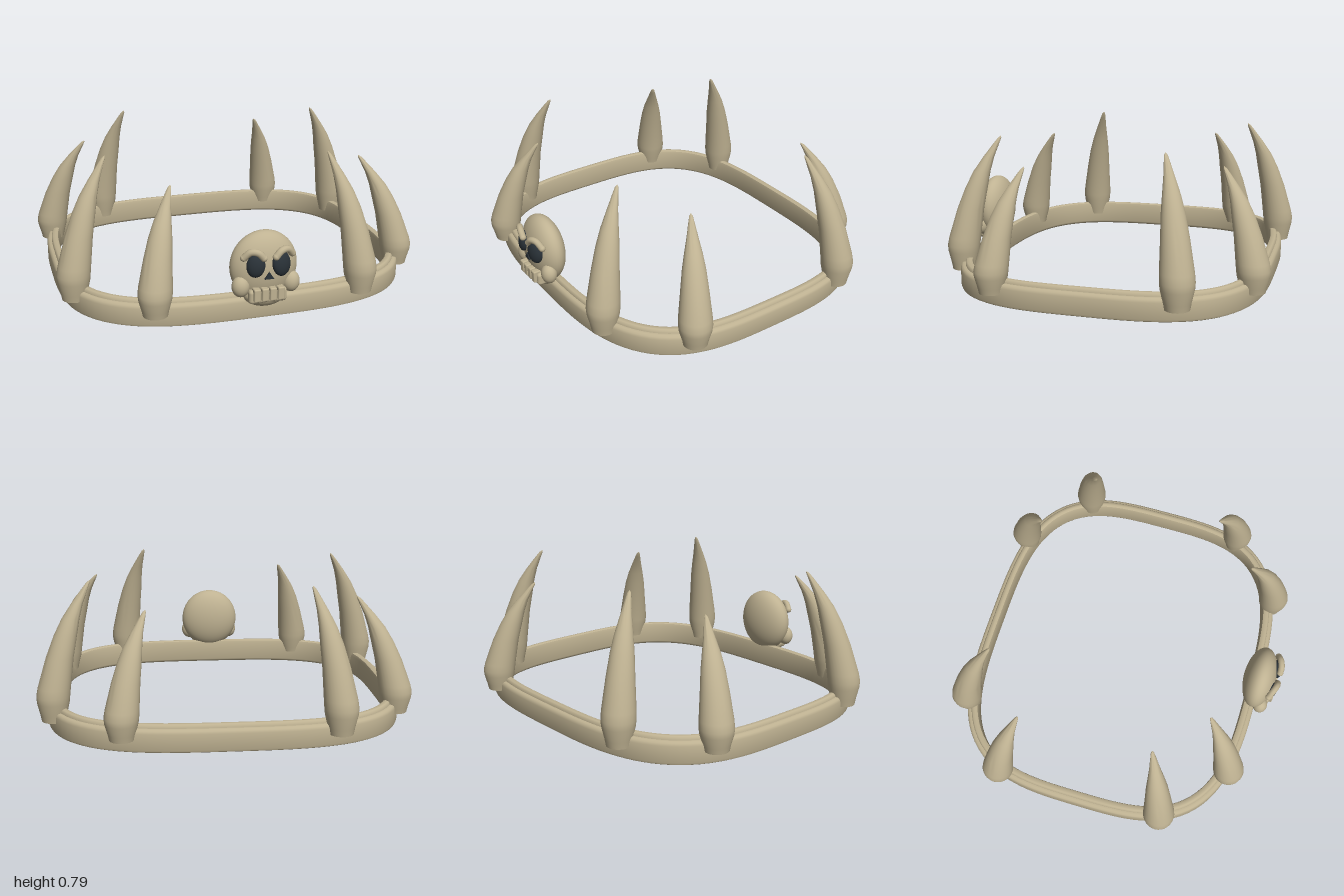
import * as THREE from 'three';
import { mergeVertices, toCreasedNormals } from 'three/addons/utils/BufferGeometryUtils.js';
import { RoundedBoxGeometry } from 'three/addons/geometries/RoundedBoxGeometry.js';

const bone = new THREE.MeshStandardMaterial({ color: 0xbfb292 });
const dark = new THREE.MeshStandardMaterial({ color: 0x2a3238 });
const CZ = -0.04; // centre of the ring in z

function add(parent, name, geometry, material, x = 0, y = 0, z = 0) {
  const mesh = new THREE.Mesh(geometry, material);
  mesh.name = name;
  mesh.position.set(x, y, z);
  parent.add(mesh);
  return mesh;
}

function ellipsoid(parent, name, material, [x, y, z], [rx, ry, rz]) {
  const mesh = add(parent, name, new THREE.SphereGeometry(1, 40, 28), material, x, y, z);
  mesh.scale.set(rx, ry, rz);
  return mesh;
}

// Rounded-square band: a lipped profile swept round a superellipse
function bandGeometry() {
  const profile = [[0.022, 0], [0.031, 0.005], [0.035, 0.016], [0.035, 0.1], [0.031, 0.114], [0.022, 0.121],
    [0.009, 0.122], [0.007, 0.134], [0, 0.141], [-0.015, 0.143], [-0.028, 0.137], [-0.032, 0.122],
    [-0.032, 0.016], [-0.028, 0.005], [-0.02, 0]];
  const a = 0.94, b = 0.815, n = 3.3, steps = 144, m = profile.length;
  const positions = [], index = [];
  for (let i = 0; i < steps; i++) {
    const t = (i / steps) * Math.PI * 2, c = Math.cos(t), s = Math.sin(t);
    const r = (Math.abs(c / a) ** n + Math.abs(s / b) ** n) ** (-1 / n);
    const x = r * c, z = r * s;
    const normal = new THREE.Vector2(
      Math.sign(x) * Math.abs(x / a) ** (n - 1) / a,
      Math.sign(z) * Math.abs(z / b) ** (n - 1) / b).normalize();
    profile.forEach(([o, y], j) => {
      positions.push(x + normal.x * o, y, z + normal.y * o + CZ);
      const j2 = (j + 1) % m, k = ((i + 1) % steps) * m;
      index.push(i * m + j, i * m + j2, k + j, i * m + j2, k + j2, k + j);
    });
  }
  const g = new THREE.BufferGeometry();
  g.setAttribute('position', new THREE.Float32BufferAttribute(positions, 3));
  g.setIndex(index);
  return toCreasedNormals(g, 0.7);
}

// Fang: a turned spike whose rings slide towards the tip; [height, radius, slide]
function fangGeometry(dx, dz, heightScale) {
  const rings = [[0, 0, 0], [0, 0.064, 0], [0.035, 0.07, 0], [0.1, 0.085, 0], [0.135, 0.088, 0.005],
    [0.18, 0.086, 0.04], [0.335, 0.072, 0.2], [0.45, 0.06, 0.36], [0.535, 0.046, 0.5],
    [0.61, 0.03, 0.67], [0.68, 0.016, 0.86], [0.712, 0.009, 0.95], [0.724, 0, 0.99]];
  const lathe = new THREE.LatheGeometry(rings.map(([h, r]) => new THREE.Vector2(r, h)), 28);
  const p = lathe.attributes.position;
  for (let i = 0; i < p.count; i++) {
    const slide = rings[i % rings.length][2];
    p.setXYZ(i, p.getX(i) + dx * slide, p.getY(i) * heightScale, p.getZ(i) + dz * slide);
  }
  lathe.deleteAttribute('uv');
  lathe.deleteAttribute('normal');
  return toCreasedNormals(mergeVertices(lathe, 1e-5), 0.8);
}

function buildFangs() {
  const fangs = new THREE.Group();
  fangs.name = 'fangs';
  for (const sx of [1, -1]) {
    for (const sz of [1, -1]) {
      // Tall and short fangs alternate round the ring
      const tall = sx * sz > 0;
      add(fangs, 'innerFang', fangGeometry(-0.13 * sx, -0.185 * sz, tall ? 1 : 0.85), bone,
        0.552 * sx, 0.066, CZ + 0.795 * sz);
      add(fangs, 'outerFang', fangGeometry(-0.205 * sx, -0.112 * sz, tall ? 0.85 : 1), bone,
        0.912 * sx, 0.066, CZ + 0.48 * sz);
    }
  }
  return fangs;
}

function buildSkull() {
  const skull = new THREE.Group();
  skull.name = 'skull';
  ellipsoid(skull, 'cranium', bone, [0, 0.288, 0.79], [0.177, 0.186, 0.092]);
  ellipsoid(skull, 'jaw', bone, [0, 0.15, 0.82], [0.115, 0.07, 0.065]);

  for (const s of [1, -1]) {
    const size = s > 0 ? 1.1 : 1; // one socket is a little larger
    const socket = ellipsoid(skull, 'eyeSocket', dark, [0.067 * s, 0.32, 0.872], [0.047 * size, 0.06 * size, 0.03]);
    socket.rotation.set(-0.1, 0.3 * s, 0.12 * s);
    ellipsoid(skull, 'cheek', bone, [0.133 * s, 0.203, 0.835], [0.046, 0.056, 0.042]);

    // Bent brow ridge with rounded ends
    const path = [[0.032, 0.365, 0.893], [0.06, 0.393, 0.89], [0.095, 0.396, 0.878], [0.127, 0.365, 0.862]]
      .map(([x, y, z]) => new THREE.Vector3(x * s, y, z));
    add(skull, 'brow', new THREE.TubeGeometry(new THREE.CatmullRomCurve3(path), 20, 0.018, 12), bone);
    for (const end of [path[0], path[3]]) {
      ellipsoid(skull, 'browEnd', bone, end.toArray(), [0.018, 0.018, 0.018]);
    }
  }

  // Triangular nose hole
  const nose = new THREE.Shape([[-0.024, -0.015], [0.024, -0.015], [0, 0.022]].map(([x, y]) => new THREE.Vector2(x, y)));
  add(skull, 'nose', new THREE.ExtrudeGeometry(nose, { depth: 0.04, bevelEnabled: false }), dark, 0, 0.264, 0.852);

  // Mouth block and row of teeth
  add(skull, 'mouth', new RoundedBoxGeometry(0.2, 0.075, 0.07, 3, 0.018), bone, 0, 0.152, 0.848);
  for (let i = 0; i < 4; i++) {
    add(skull, 'tooth', new RoundedBoxGeometry(0.036, 0.068, 0.05, 2, 0.007), bone, (i - 1.5) * 0.042, 0.167, 0.875);
  }
  return skull;
}

export function createModel() {
  const model = new THREE.Group();
  model.name = 'fangedCrown';
  add(model, 'band', bandGeometry(), bone);
  model.add(buildFangs(), buildSkull());
  return model;
}
